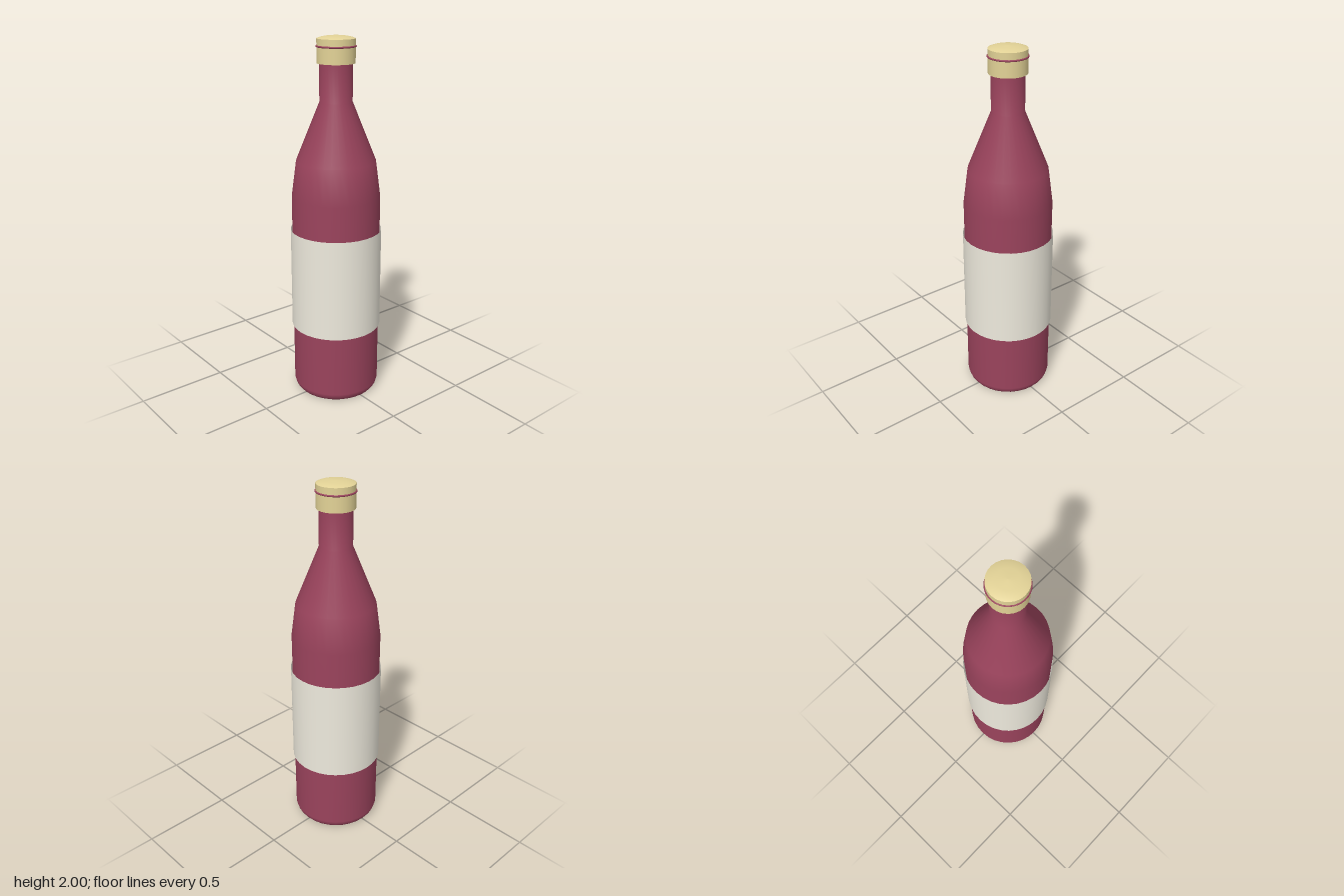
import * as THREE from 'three';

// Revolves a bottom-to-top profile of [radius, height] pairs around y.
function turned(name, profile, sides, material) {
  const points = profile.map(([r, y]) => new THREE.Vector2(r, y));
  const mesh = new THREE.Mesh(new THREE.LatheGeometry(points, sides), material);
  mesh.name = name;
  return mesh;
}

export function createModel() {
  const group = new THREE.Group();
  group.name = 'bottle';

  const glass = new THREE.MeshStandardMaterial({ color: 0x9a435c });
  const paper = new THREE.MeshStandardMaterial({ color: 0xeeeadd, side: THREE.DoubleSide });
  const gold = new THREE.MeshStandardMaterial({ color: 0xe2d296 });

  // Bottle: bevelled foot, straight wall, shoulder, cone and neck
  group.add(turned('body', [
    [0, 0], [0.222, 0], [0.234, 0.015], [0.242, 0.04], [0.242, 1.15],
    [0.216, 1.345], [0.088, 1.66], [0.088, 1.88],
  ], 32, glass));

  // Paper label: open sleeve standing just off the wall
  const label = new THREE.Mesh(
    new THREE.CylinderGeometry(0.251, 0.251, 0.57, 32, 1, true), paper);
  label.name = 'label';
  label.position.y = 0.675;
  group.add(label);

  // Cap: flat underside, straight skirt and shallow domed top
  group.add(turned('capUnderside', [[0, 1.86], [0.102, 1.86]], 24, gold));
  group.add(turned('capSkirt', [[0.102, 1.86], [0.102, 1.985]], 24, gold));
  group.add(turned('capTop', [
    [0.102, 1.985], [0.085, 1.991], [0.055, 1.997], [0, 2],
  ], 24, gold));

  // Thin coloured band around the cap
  const band = new THREE.Mesh(new THREE.TorusGeometry(0.102, 0.005, 8, 32), glass);
  band.name = 'capBand';
  band.rotation.x = Math.PI / 2;
  band.position.y = 1.946;
  group.add(band);

  return group;
}
